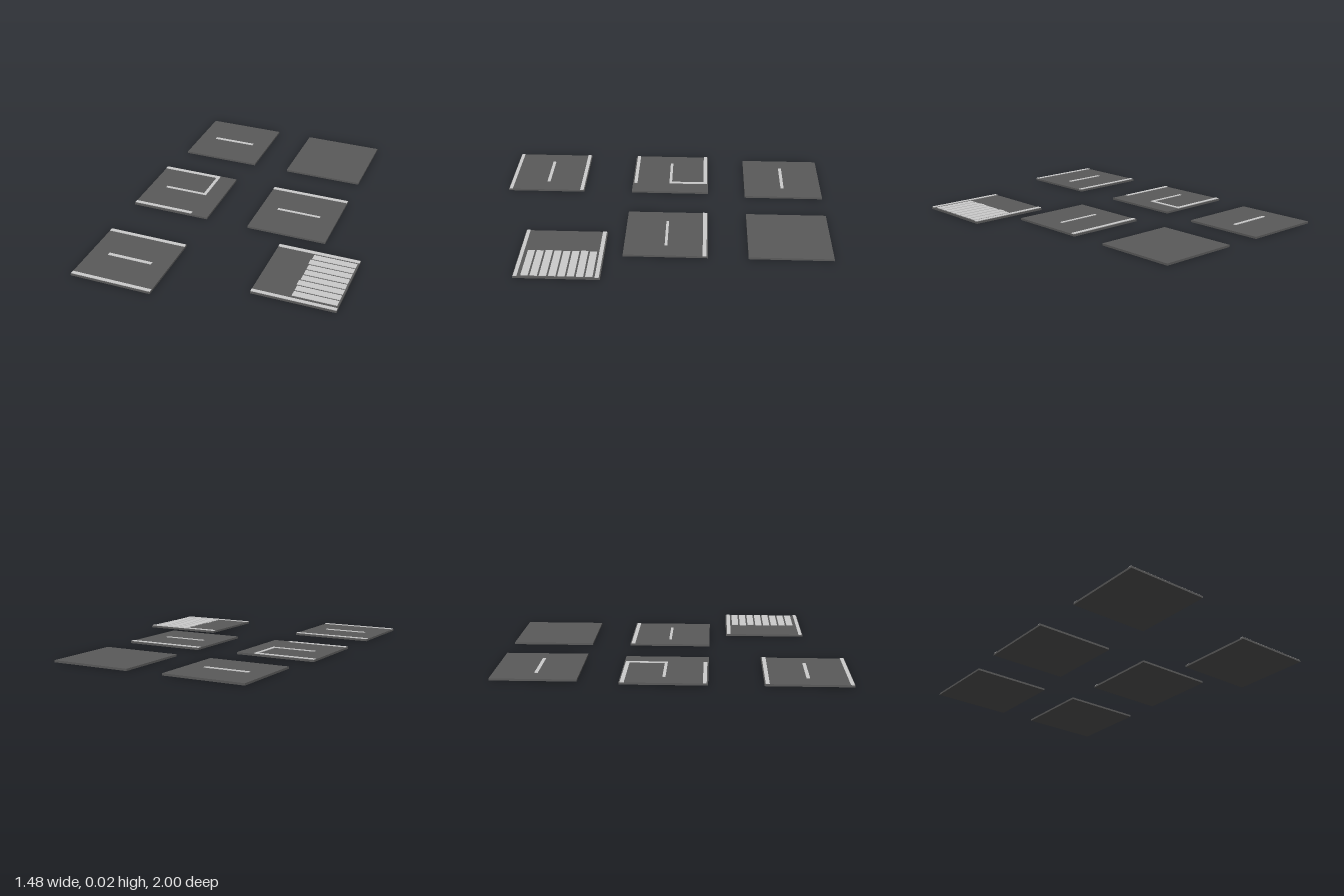
import * as THREE from 'three';

const TILE = 0.487, BASE_H = 0.012, MARK_TOP = 0.0155;

export function createModel() {
  const asphalt = new THREE.MeshStandardMaterial({ color: 0x5a5a5a });
  asphalt.name = 'asphalt grey';
  const paint = new THREE.MeshStandardMaterial({ color: 0xcccccc });
  paint.name = 'road paint';

  const model = new THREE.Group();
  model.name = 'roadTiles';

  // Box given by its limits in x, y and z
  function slab(parent, name, material, x0, x1, y0, y1, z0, z1) {
    const mesh = new THREE.Mesh(new THREE.BoxGeometry(x1 - x0, y1 - y0, z1 - z0), material);
    mesh.position.set((x0 + x1) / 2, (y0 + y1) / 2, (z0 + z1) / 2);
    mesh.name = name;
    parent.add(mesh);
  }

  // Tile with its back left corner at (x, z); marks are [name, x0, x1, z0, z1] from that corner
  function tile(name, x, z, marks) {
    const group = new THREE.Group();
    group.name = name;
    group.position.set(x, 0, z);
    slab(group, 'roadSurface', asphalt, 0, TILE, 0, BASE_H, 0, TILE);
    for (const [label, x0, x1, z0, z1] of marks) {
      slab(group, label, paint, x0, x1, BASE_H - 0.002, MARK_TOP, z0, z1);
    }
    model.add(group);
  }

  // Painted lines shared by several tiles
  const centre = ['centreDash', 0.108, 0.38, 0.234, 0.254];
  const backEdge = ['backEdgeLine', 0.001, TILE - 0.001, 0.007, 0.03];
  const frontEdge = ['frontEdgeLine', 0.001, TILE - 0.001, 0.462, 0.483];

  // Zebra crossing bars
  const bars = [];
  for (let i = 0; i < 8; i++) {
    const z = 0.042 + i * 0.0513;
    bars.push(['crossingBar', i % 4 === 1 ? 0.217 : 0.223, 0.478, z, z + 0.041]);
  }

  tile('dashedTile', -0.704, -1, [centre]);
  tile('plainTile', 0.008, -1, []);
  tile('junctionTile', -0.742, -0.281, [
    ['backEdgeLine', 0.001, 0.379, 0.007, 0.03],
    ['frontEdgeLine', 0.001, 0.379, 0.458, 0.479],
    ['stopLine', 0.359, 0.379, 0.03, 0.251],
    ['centreDash', 0.105, 0.359, 0.234, 0.251],
  ]);
  tile('oneEdgeTile', 0.008, -0.281, [backEdge, ['centreDash', 0.107, 0.38, 0.235, 0.251]]);
  tile('crossingTile', 0.253, 0.311, [backEdge, frontEdge, ...bars]);
  tile('twoEdgeTile', -0.738, 0.51, [['backEdgeLine', 0.001, TILE - 0.001, 0.006, 0.028], frontEdge, centre]);

  return model;
}
